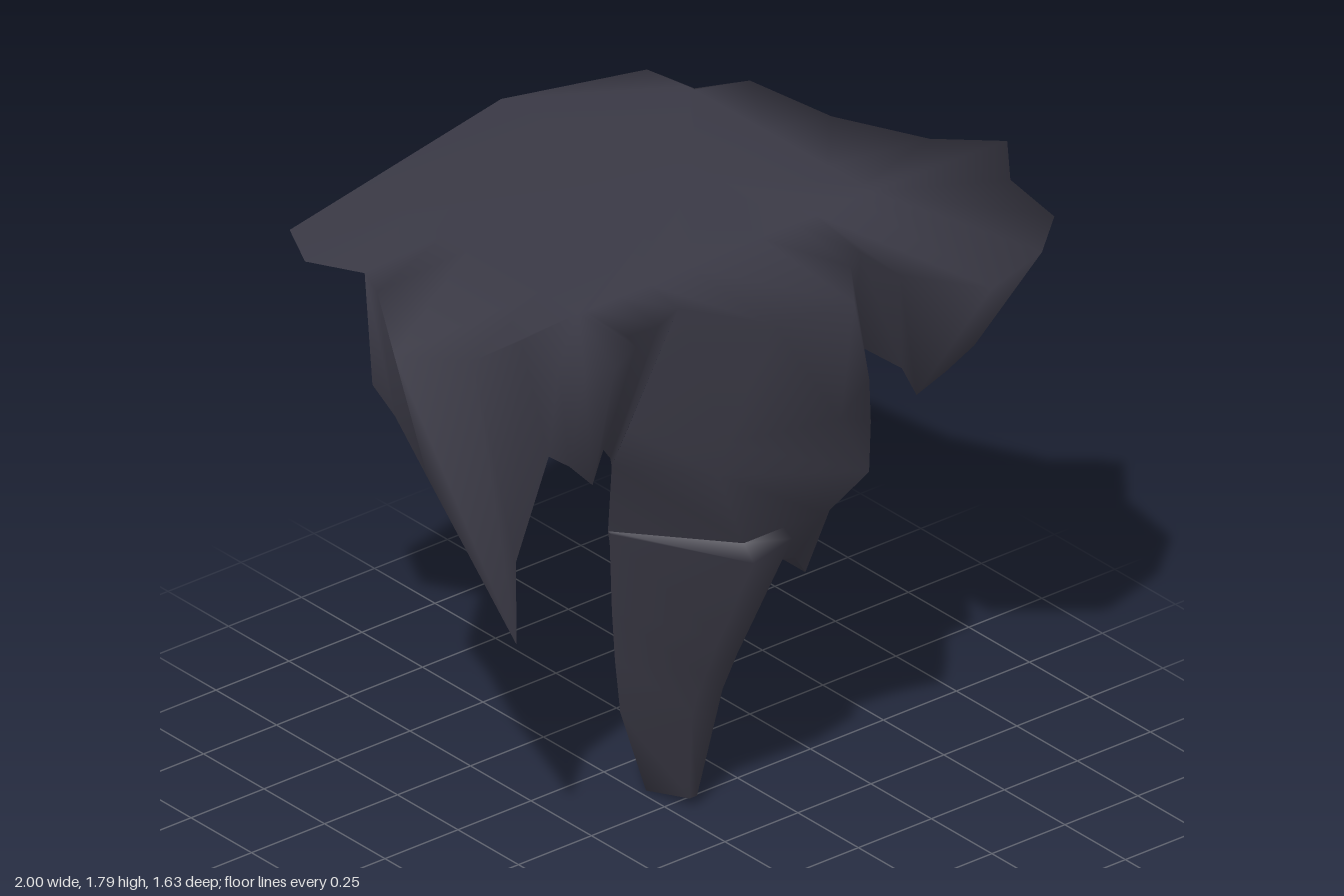
import * as THREE from 'three';
import { mergeGeometries, mergeVertices } from 'three/addons/utils/BufferGeometryUtils.js';

const rock = new THREE.MeshStandardMaterial({ color: 0x3a3945, side: THREE.DoubleSide });
rock.name = 'darkRock';

const TOP = 1.74;

// Skin a stack of equal-length rows of [x, y, z] points
function loft(rows, closed = false) {
  const n = rows[0].length, index = [];
  for (let r = 0; r < rows.length - 1; r++) {
    for (let i = 0; i < (closed ? n : n - 1); i++) {
      const a = r * n + i, b = r * n + (i + 1) % n;
      index.push(a, b, a + n, b, b + n, a + n);
    }
  }
  const geometry = new THREE.BufferGeometry();
  geometry.setAttribute('position', new THREE.Float32BufferAttribute(rows.flat(2), 3));
  geometry.setIndex(index);
  return geometry;
}

// Weld pieces along their shared edges so the shading runs smoothly across them
function welded(name, pieces) {
  const geometry = mergeVertices(mergeGeometries(pieces));
  geometry.computeVertexNormals();
  const mesh = new THREE.Mesh(geometry, rock);
  mesh.name = name;
  return mesh;
}

// Rim outline [x, z], from the back right corner round the front to the left
const rightRim = [
  [0.52, -0.7], [0.55, -0.54], [0.69, -0.48], [0.73, -0.19], [0.85, 0.07], [1, 0.21],
  [0.87, 0.38], [0.83, 0.61], [0.68, 0.74], [0.45, 0.81], [0.31, 0.6], [0.31, 0.44],
];
const middleRim = [[0.24, 0.48], [0.12, 0.64], [-0.12, 0.6]];
const leftRim = [
  [-0.26, 0.37], [-0.36, 0.41], [-0.46, 0.4], [-0.48, 0.46], [-0.6, 0.52], [-0.68, 0.49],
  [-0.71, 0.42], [-0.69, 0.24], [-0.86, 0.245], [-1, 0.09], [-0.81, -0.21], [-0.77, -0.31],
];
const backRim = [[-0.85, -0.46], [-0.77, -0.62], [0.12, -0.82]];

// Lower edges of the hanging walls
const rightHem = [
  [0.59, 1.32, -0.68], [0.56, 1.32, -0.54], [0.67, 1.32, -0.47], [0.7, 1.315, -0.2], [0.78, 1.32, 0.04],
  [0.87, 1.33, 0.15], [0.81, 1.31, 0.26], [0.73, 1.3, 0.4], [0.66, 1.235, 0.37], [0.59, 1.17, 0.33],
  [0.49, 1.31, 0.39], [0.48, 1.31, 0.19],
];
const leftHem = [
  [-0.28, 1.17, 0.12], [-0.36, 1.26, 0.21], [-0.45, 1.35, 0.29], [-0.48, 1.33, 0.31], [-0.52, 1.285, 0.33],
  [-0.59, 1.36, 0.32], [-0.62, 1.38, 0.27], [-0.65, 1.03, 0.17], [-0.68, 0.81, 0.21],
  [-0.86, 1.31, 0.06], [-0.79, 1.38, -0.16], [-0.76, 1.41, -0.29],
];

// Overhanging lump under the rim, open at the back: right edge, right, front, front left, left edge
const lump = [
  [[0.48, 1.31, 0.19], [0.42, 1.28, 0.34], [0.28, 1.23, 0.39], [-0.12, 1.3, 0.4], [-0.275, 1.3, 0.177]],
  [[0.465, 1.12, 0.13], [0.45, 1.13, 0.31], [0.27, 1.13, 0.52], [-0.13, 1.2, 0.38], [-0.28, 1.17, 0.12]],
  [[0.44, 0.87, 0.07], [0.41, 0.9, 0.22], [0.22, 0.97, 0.4], [-0.06, 0.99, 0.39], [-0.235, 0.93, 0.05]],
  [[0.35, 0.65, 0.16], [0.35, 0.65, 0.16], [0.24, 0.77, 0.25], [-0.04, 0.85, 0.29], [-0.2, 0.8, 0.03]],
];

// Lower spike, jutting out below the lump and tapering to a narrow tip, in the same order
const spike = [
  [[0.22, 0.85, 0.1], [0.24, 0.85, 0.2], [0.08, 0.98, 0.4], [-0.06, 0.98, 0.4], [-0.235, 0.93, 0.05]],
  [[0.23, 0.75, 0.02], [0.24, 0.78, 0.14], [0.09, 0.95, 0.42], [-0.075, 0.95, 0.46], [-0.23, 0.92, 0.05]],
  [[0.17, 0.64, -0.04], [0.215, 0.62, 0.11], [0.11, 0.65, 0.25], [-0.06, 0.65, 0.3], [-0.18, 0.65, 0]],
  [[0.12, 0.53, -0.12], [0.2, 0.5, 0.08], [0.1, 0.5, 0.18], [-0.045, 0.5, 0.22], [-0.145, 0.48, -0.03]],
  [[0.1, 0.4, -0.115], [0.14, 0.41, 0.06], [0.1, 0.37, 0.12], [-0.03, 0.36, 0.15], [-0.11, 0.3, -0.05]],
  [[0.02, 0, -0.1], [0.07, 0.03, 0.01], [0.07, 0.03, 0.05], [0.045, 0.03, 0.05], [0.02, 0, -0.1]],
];

// Back of the lobe that hangs from the right of the lump
const lobeBack = [
  [[0.24, 0.9, 0.1], [0.44, 0.87, 0.07]],
  [[0.22, 0.76, 0.03], [0.35, 0.65, 0.16]],
  [[0.24, 0.77, 0.25], [0.35, 0.65, 0.16]],
];

export function createModel() {
  const group = new THREE.Group();
  group.name = 'rockLedge';

  // Gently domed top: a raised plateau sloping out to the rim
  const clamp = THREE.MathUtils.clamp;
  const lift = (points) => points.map(([x, z]) => [x, TOP, z]);
  const rim = [...rightRim, ...middleRim, ...leftRim, ...backRim];
  const plateau = rim.map(([x, z]) => {
    const px = clamp(x, -0.5, 0.5);
    return [px, 1.768 + 0.02 * px, clamp(z, -0.5, 0.25)];
  });
  const crown = rim.map(() => [0.2, 1.787, -0.12]);
  const topSheet = loft([crown, plateau, lift(rim)], true);

  // Walls hanging on either side of the central lump
  const rightWall = loft([lift(rightRim), rightHem]);
  const leftWall = loft([lift(leftRim), leftHem]);
  const lumpRim = lift([rightRim.at(-1), ...middleRim, leftRim[0]]);
  const centralLump = loft([lumpRim, ...lump]);
  group.add(welded('ledgeShell', [topSheet, rightWall, leftWall, centralLump]));

  group.add(welded('lowerSpike', [loft(spike)]));
  group.add(welded('lobeBack', [loft(lobeBack)]));

  return group;
}
